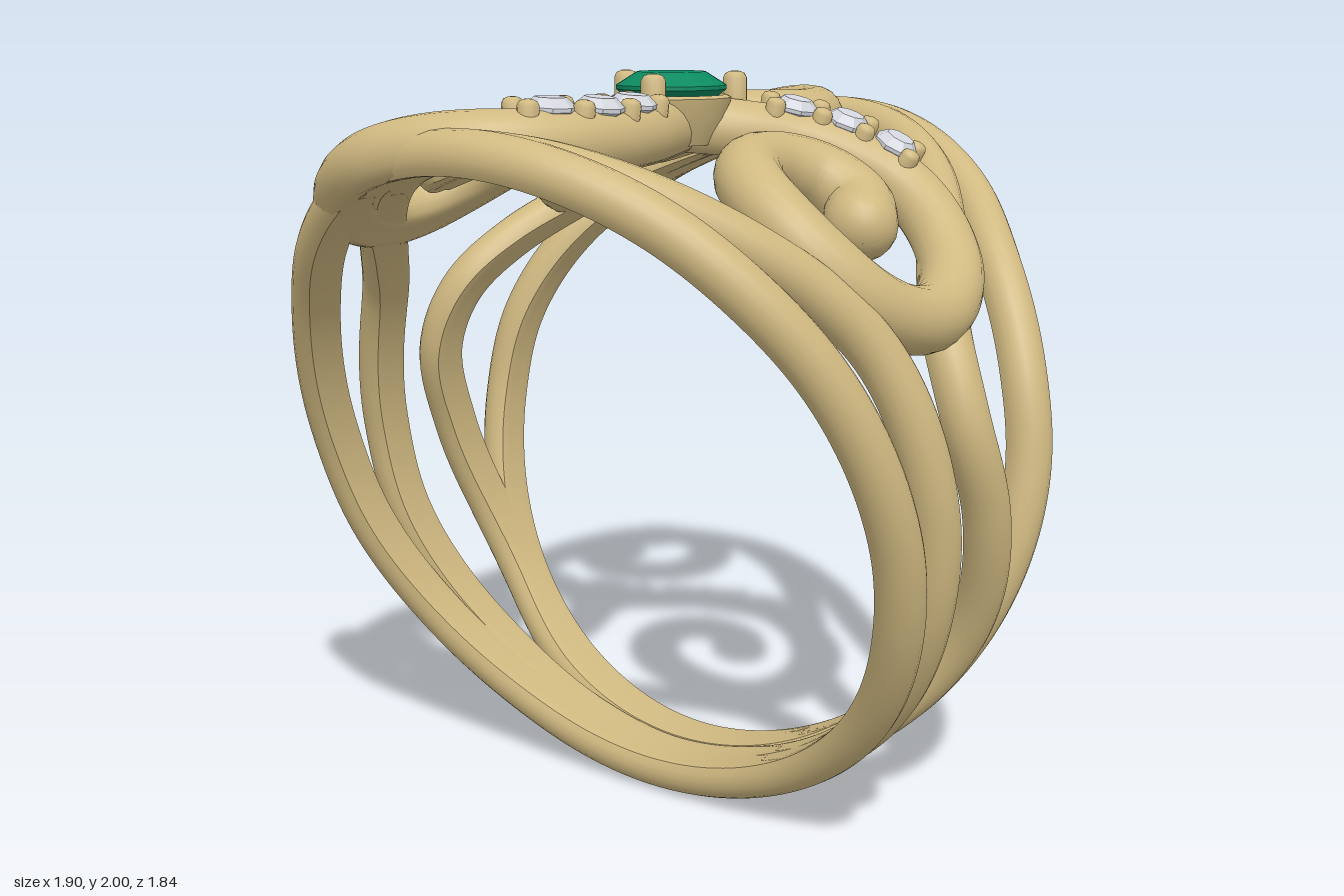
import * as THREE from 'three';
import { toCreasedNormals } from 'three/addons/utils/BufferGeometryUtils.js';

const CY = 0.95;      // height of the finger hole's axis
const INNER = 0.845;  // radius of the finger hole
const SCROLL_R = 0.905;

const gold = new THREE.MeshStandardMaterial({ color: 0xd0b981 });
gold.name = 'gold';
const green = new THREE.MeshStandardMaterial({ color: 0x0b8a60 });
green.name = 'emerald green';
const white = new THREE.MeshStandardMaterial({ color: 0xd3d6de });
white.name = 'clear stone';

// Moves a point radially onto a cylinder around the finger axis
function toRadius(p, r) {
  const d = Math.hypot(p.x, p.y - CY);
  p.x *= r / d;
  p.y = CY + (p.y - CY) * r / d;
  return p;
}

// Point on the cylinder of radius r, above plan position (x, z)
const onTop = (x, z, r) => new THREE.Vector3(x, CY + Math.sqrt(r * r - x * x), z);

// Oval wire swept along a path on the cylinder, cut flat by the finger hole
function wire(name, points, { r, half, width, closed = false, steps = 160, flare = 0 }) {
  const curve = new THREE.CatmullRomCurve3(points, closed, 'centripetal');
  const count = closed ? steps : steps + 1;
  const path = Array.from({ length: count }, (_, i) => toRadius(curve.getPointAt(i / steps), r));
  const sections = path.map((p, i) => {
    const a = path[closed ? (i + count - 1) % count : Math.max(i - 1, 0)];
    const b = path[closed ? (i + 1) % count : Math.min(i + 1, count - 1)];
    const t = b.clone().sub(a).normalize();
    return { p, t, s: 1 + flare * Math.max(0, (i / steps - 0.85) / 0.15) };
  });
  // Rounded ends
  if (!closed) {
    const first = sections[0], last = sections[count - 1];
    for (let k = 1; k <= 6; k++) {
      const e = k / 6 * Math.PI / 2 * 0.995;
      const cap = (o, dir) => ({
        p: o.p.clone().addScaledVector(o.t, dir * half * o.s * Math.sin(e)),
        t: o.t, s: o.s * Math.cos(e),
      });
      sections.unshift(cap(first, -1));
      sections.push(cap(last, 1));
    }
  }
  const SIDES = 20, pos = [], index = [];
  for (const { p, t, s } of sections) {
    const n = new THREE.Vector3(p.x, p.y - CY, 0);
    n.addScaledVector(t, -n.dot(t)).normalize();
    const b = t.clone().cross(n);
    for (let j = 0; j < SIDES; j++) {
      const f = j / SIDES * Math.PI * 2;
      const v = p.clone().addScaledVector(n, half * s * Math.cos(f)).addScaledVector(b, width * s * Math.sin(f));
      if (Math.hypot(v.x, v.y - CY) < INNER) toRadius(v, INNER);
      pos.push(v.x, v.y, v.z);
    }
  }
  const total = sections.length;
  for (let i = 0; i < (closed ? total : total - 1); i++) {
    for (let j = 0; j < SIDES; j++) {
      const i2 = (i + 1) % total, j2 = (j + 1) % SIDES;
      const a = i * SIDES + j, b = i * SIDES + j2, c = i2 * SIDES + j, d = i2 * SIDES + j2;
      index.push(a, b, c, b, d, c);
    }
  }
  const g = new THREE.BufferGeometry();
  g.setAttribute('position', new THREE.Float32BufferAttribute(pos, 3));
  g.setIndex(index);
  const m = new THREE.Mesh(toCreasedNormals(g, 0.65), gold);
  m.name = name;
  return m;
}

// Closed band wire from [degrees from top, z] pairs, mirrored left and right
function band(name, list) {
  const at = ([deg, z], side) => {
    const a = THREE.MathUtils.degToRad(deg);
    return new THREE.Vector3(side * 0.885 * Math.sin(a), CY + 0.885 * Math.cos(a), z);
  };
  const points = [...list.map(q => at(q, 1)), ...list.slice(1, -1).reverse().map(q => at(q, -1))];
  return wire(name, points, { r: 0.885, half: 0.065, width: 0.064, closed: true, steps: 220 });
}

// Round faceted gem, girdle at y = 0
function gem(name, radius, crown, depth, sides, material) {
  const profile = [[0, -depth], [radius, -0.006], [radius, 0.004], [radius * 0.62, crown], [0, crown]];
  const g = new THREE.LatheGeometry(profile.map(q => new THREE.Vector2(...q)), sides).toNonIndexed();
  g.computeVertexNormals();
  const m = new THREE.Mesh(g, material);
  m.name = name;
  return m;
}

// Pin with a domed tip at y = 0
function prong(name, radius, length) {
  const profile = [[0, -length], [radius, -length], [radius, -radius * 0.6],
    [radius * 0.8, -radius * 0.2], [radius * 0.4, -radius * 0.03], [0, 0]];
  const g = new THREE.LatheGeometry(profile.map(q => new THREE.Vector2(...q)), 14);
  const m = new THREE.Mesh(toCreasedNormals(g, 0.8), gold);
  m.name = name;
  return m;
}

// Stands a part on the cylinder, pointing outward
function place(m, x, z, r) {
  m.position.copy(onTop(x, z, r));
  m.rotation.z = -Math.asin(x / r);
  return m;
}

export function createModel() {
  const ring = new THREE.Group();
  ring.name = 'scrollRing';

  // Split band: two wires in front, two behind
  ring.add(
    band('frontOuterBand', [[0, 0.85], [16, 0.825], [35, 0.74], [46, 0.68], [60, 0.585], [87, 0.425],
      [106, 0.325], [129, 0.19], [150, 0.105], [180, 0.075]]),
    band('frontInnerBand', [[0, 0.85], [12, 0.79], [26, 0.68], [39, 0.54], [49, 0.42], [60, 0.32],
      [87, 0.22], [106, 0.17], [138, 0.045], [160, 0.015], [180, 0.02]]),
    band('backOuterBand', [[0, -0.86], [12, -0.85], [35, -0.69], [53, -0.5], [71, -0.385], [89, -0.335],
      [121, -0.23], [150, -0.15], [180, -0.11]]),
    band('backInnerBand', [[0, -0.86], [15, -0.78], [30, -0.6], [42, -0.38], [52, -0.17], [62, -0.035],
      [75, 0.0], [92, -0.085], [112, -0.18], [125, -0.195], [150, -0.12], [180, -0.09]]),
  );

  // Three scrolled arms in plan (x, z), with their stones and bead stations
  const arms = [
    {
      name: 'rightScroll',
      path: [[0.02, 0], [0.14, -0.09], [0.25, -0.19], [0.37, -0.26], [0.5, -0.31], [0.62, -0.28], [0.72, -0.18],
        [0.765, -0.02], [0.76, 0.15], [0.71, 0.29], [0.59, 0.365], [0.45, 0.33], [0.365, 0.22], [0.36, 0.09],
        [0.43, -0.01], [0.53, -0.02], [0.58, 0.05]],
      stones: [[0.25, -0.19], [0.365, -0.265], [0.485, -0.315]],
      beads: [[0.21, -0.15], [0.31, -0.235], [0.42, -0.29], [0.54, -0.325]],
    },
    {
      name: 'frontScroll',
      path: [[0, 0.04], [0.04, 0.15], [0.085, 0.3], [0.1, 0.45], [0.08, 0.6], [0, 0.73], [-0.13, 0.81],
        [-0.28, 0.83], [-0.43, 0.77], [-0.55, 0.65], [-0.6, 0.48], [-0.57, 0.34], [-0.48, 0.245], [-0.36, 0.225],
        [-0.25, 0.28], [-0.2, 0.4], [-0.25, 0.5], [-0.34, 0.525]],
      stones: [[0.1, 0.34], [0.105, 0.48], [0.06, 0.61]],
      beads: [[0.085, 0.27], [0.105, 0.41], [0.085, 0.55], [0.025, 0.675]],
    },
    {
      name: 'backScroll',
      path: [[-0.02, 0.02], [-0.2, 0], [-0.32, -0.04], [-0.45, -0.11], [-0.55, -0.21], [-0.595, -0.37],
        [-0.57, -0.55], [-0.47, -0.71], [-0.3, -0.805], [-0.12, -0.79], [0.02, -0.69], [0.07, -0.53],
        [0.03, -0.4], [-0.08, -0.325], [-0.2, -0.315], [-0.31, -0.38], [-0.34, -0.46], [-0.3, -0.51]],
      stones: [[-0.325, -0.05], [-0.45, -0.11], [-0.555, -0.2]],
      beads: [[-0.265, -0.03], [-0.39, -0.08], [-0.505, -0.155], [-0.6, -0.24]],
    },
  ];
  for (const arm of arms) {
    ring.add(wire(arm.name, arm.path.map(([x, z]) => onTop(x, z, SCROLL_R)),
      { r: SCROLL_R, half: 0.083, width: 0.085, flare: 0.1 }));
    for (const [x, z] of arm.stones) ring.add(place(gem('smallStone', 0.062, 0.026, 0.05, 8, white), x, z, 0.987));
    arm.beads.forEach(([x, z], i) => {
      // Beads sit in pairs across the arm
      const [ax, az] = arm.beads[Math.max(i - 1, 0)], [bx, bz] = arm.beads[Math.min(i + 1, 3)];
      const d = Math.hypot(bx - ax, bz - az);
      for (const s of [-0.044, 0.044]) {
        ring.add(place(prong('beadProng', 0.026, 0.08), x - (bz - az) / d * s, z + (bx - ax) / d * s, 1.012));
      }
    });
  }

  // Centre stone in a tapered cup with three prongs
  const cupProfile = [[0.115, 1.815], [0.145, 1.88], [0.158, 1.935], [0.142, 1.942], [0.085, 1.815], [0.115, 1.815]];
  const cup = new THREE.Mesh(
    toCreasedNormals(new THREE.LatheGeometry(cupProfile.map(q => new THREE.Vector2(...q)), 40), 0.7), gold);
  cup.name = 'centreCup';
  cup.position.z = 0.025;
  const centre = gem('centreStone', 0.146, 0.038, 0.125, 16, green);
  centre.position.set(0, 1.962, 0.025);
  ring.add(cup, centre);
  for (const [x, z] of [[-0.17, -0.01], [0.112, -0.108], [0.055, 0.185]]) {
    const p = prong('centreProng', 0.032, 0.12);
    p.position.set(x, 2, z);
    ring.add(p);
  }
  return ring;
}
